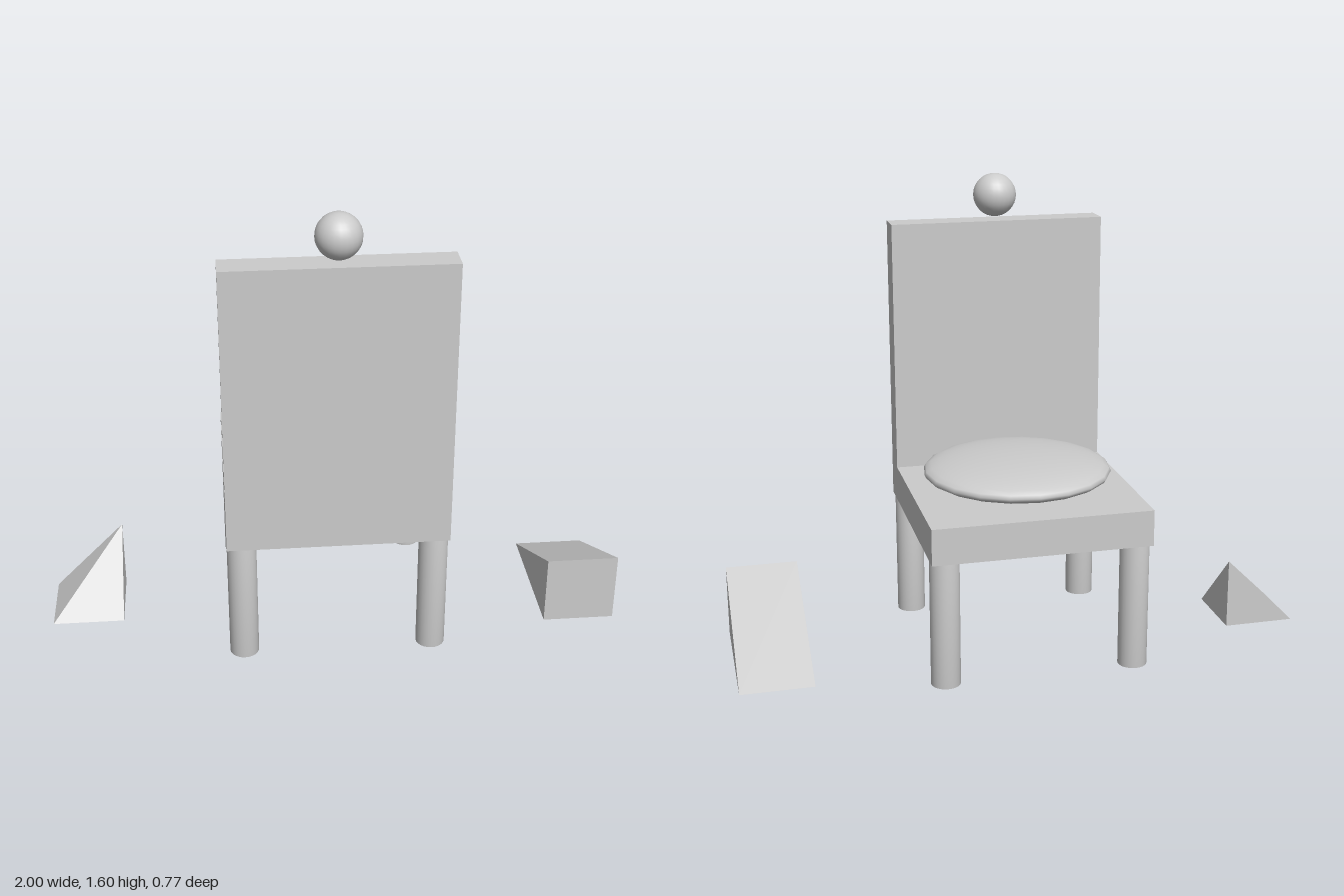
import * as THREE from 'three';
import { mergeVertices } from 'three/addons/utils/BufferGeometryUtils.js';

const material = new THREE.MeshStandardMaterial({ color: 0xcccccc });

// Share all vertices so that shading runs smoothly over the rims
function smooth(geometry) {
  geometry.deleteAttribute('normal');
  geometry.deleteAttribute('uv');
  const merged = mergeVertices(geometry, 1e-4);
  merged.computeVertexNormals();
  return merged;
}

// Extrude a profile given as [z, y] points along x, from x0 to x1
function extrudeAlongX(points, x0, x1) {
  const shape = new THREE.Shape(points.map(([z, y]) => new THREE.Vector2(-z, y)));
  const geometry = new THREE.ExtrudeGeometry(shape, { depth: x1 - x0, bevelEnabled: false });
  return geometry.rotateY(Math.PI / 2).translate(x0, 0, 0);
}

// Square pyramid whose apex stands above its inner back corner
function cornerPyramid(x0, x1, zBack, zFront, height) {
  const a = [x0, 0, zBack], b = [x1, 0, zBack], c = [x1, 0, zFront], d = [x0, 0, zFront];
  const apex = [x1, height, zBack];
  const faces = [
    a, b, c, a, c, d, // base
    a, apex, b, // back
    b, apex, c, // inner side
    c, apex, d, // front slope
    d, apex, a, // outer slope
  ];
  const geometry = new THREE.BufferGeometry();
  geometry.setAttribute('position', new THREE.Float32BufferAttribute(faces.flat(), 3));
  geometry.computeVertexNormals();
  return geometry;
}

export function createModel() {
  const model = new THREE.Group();
  model.name = 'chairWithShapes';

  function add(name, geometry, x = 0, y = 0, z = 0) {
    const mesh = new THREE.Mesh(geometry, material);
    mesh.name = name;
    mesh.position.set(x, y, z);
    model.add(mesh);
    return mesh;
  }

  // Seat and backrest in one L-shaped piece
  add('seatAndBackrest', extrudeAlongX([
    [0.363, 0.44], [-0.387, 0.44], [-0.387, 0.565],
    [0.263, 0.565], [0.263, 1.44], [0.363, 1.44],
  ], -0.375, 0.375));

  // Four round legs
  const legGeometry = smooth(new THREE.CylinderGeometry(0.05, 0.05, 0.44, 24));
  for (const [side, x] of [['left', 0.325], ['right', -0.325]]) {
    add(side + 'BackrestLeg', legGeometry, x, 0.22, 0.313);
    add(side + 'SeatLeg', legGeometry, x, 0.22, -0.337);
  }

  // Flattened round cushion
  const cushion = new THREE.SphereGeometry(0.325, 20, 16).scale(1, 0.057 / 0.325, 1);
  add('cushion', cushion, 0, 0.62, -0.012);

  // Ball floating just above the backrest
  add('ball', new THREE.SphereGeometry(0.075, 24, 16), 0, 1.525, 0.313);

  // Loose ramp and pyramid beside the chair
  add('ramp', extrudeAlongX([[0.238, 0], [-0.262, 0], [0.238, 0.25]], 0.75, 1));
  add('pyramid', cornerPyramid(-1, -0.75, -0.14, 0.11, 0.25));

  return model;
}
